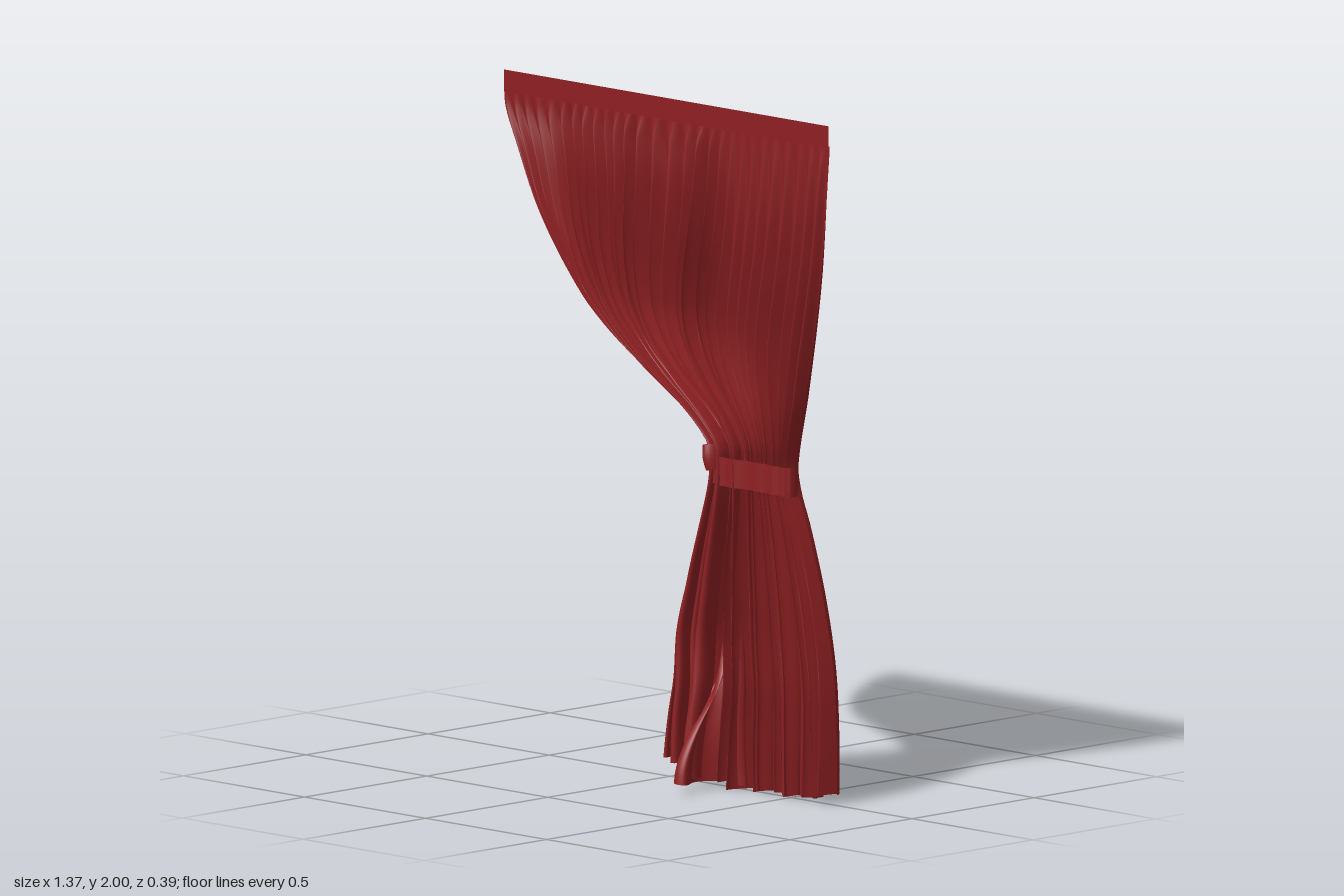
import * as THREE from 'three';

const TAU = Math.PI * 2;

// Smooth interpolation through [position, value] pairs sorted by position
function profile(points) {
  const slope = i => {
    const a = points[Math.max(i - 1, 0)], b = points[Math.min(i + 1, points.length - 1)];
    return (b[1] - a[1]) / (b[0] - a[0]);
  };
  return y => {
    let i = 0;
    while (i < points.length - 2 && y > points[i + 1][0]) i++;
    const [x0, v0] = points[i], [x1, v1] = points[i + 1], h = x1 - x0;
    const t = THREE.MathUtils.clamp((y - x0) / h, 0, 1), t2 = t * t, t3 = t2 * t;
    return v0 * (2 * t3 - 3 * t2 + 1) + v1 * (3 * t2 - 2 * t3)
      + h * (slope(i) * (t3 - 2 * t2 + t) + slope(i + 1) * (t3 - t2));
  };
}

// Outline of the gathered cloth by height
const sideRight = profile([[0, 0.015], [0.07, 0.015], [0.2, 0.028], [0.3, 0.045], [0.45, 0.055], [0.6, 0.1],
  [0.8, 0.17], [0.9, 0.2], [0.97, 0.205], [1.02, 0.19], [1.1, 0.09], [1.2, -0.09], [1.3, -0.25],
  [1.4, -0.37], [1.6, -0.53], [1.8, -0.635], [1.91, -0.685], [2, -0.685]]);
const sideLeft = profile([[0, 0.68], [0.2, 0.675], [0.4, 0.66], [0.6, 0.62], [0.8, 0.56], [0.9, 0.522],
  [0.98, 0.51], [1.2, 0.56], [1.4, 0.6], [1.6, 0.63], [1.9, 0.655], [2, 0.655]]);
// How strongly the pleats crowd toward the swept side
const crowding = profile([[0, 1.5], [0.5, 1.65], [0.95, 2], [1.2, 1.75], [1.6, 1.2], [1.94, 1], [2, 1]]);
// Pleat depth by height, and its share across the width
const depth = profile([[0, 0.12], [0.2, 0.108], [0.5, 0.092], [0.8, 0.078], [1, 0.07], [1.2, 0.065],
  [1.5, 0.05], [1.75, 0.03], [1.88, 0.016], [1.94, 0], [2, 0]]);
const share = profile([[0, 0.3], [0.08, 0.75], [0.25, 1], [0.55, 1], [0.66, 0.75], [0.74, 0.42],
  [0.84, 0.4], [0.9, 0.6], [0.96, 0.6], [1, 0.3]]);
// Uneven hem height across the width
const hem = profile([[0, 0.07], [0.3, 0.062], [0.39, 0.06], [0.42, 0.03], [0.54, 0.018], [0.6, 0.006], [0.85, 0], [1, 0.02]]);
// Large pleats that flare at the hem: place across the width, width, reach in z
const flares = [[0.3, 0.025, -0.195], [0.46, 0.03, 0.195]];

function clothPoint(u, y, target) {
  const low = THREE.MathUtils.smoothstep(1.3 - y, 0, 1.1);
  const fine = TAU * (28 * u + 0.5 * Math.sin(7 * u) + 0.3 * Math.sin(17 * u + 1)) + 0.5 * Math.sin(2 * y + 9 * u);
  const broad = TAU * (10 * u + 0.35 * Math.sin(9 * u + 2)) + 0.4 * Math.sin(3 * y);
  const uneven = 0.8 + 0.2 * Math.sin(31 * u + 1.3);
  const fineWeight = 0.85 - 0.4 * low, broadWeight = 0.2 + 0.45 * low;
  const d = depth(y) * share(u) * uneven;
  const l = sideRight(y), r = sideLeft(y);
  const edge = Math.min(1, u * 12, (1 - u) * 12);
  const x = l + (r - l) * Math.pow(u, crowding(y))
    + edge * d * (0.09 * Math.sin(2 * fine) + 0.16 * low * Math.sin(2 * broad));
  let z = d * (fineWeight * Math.sin(fine) + broadWeight * Math.sin(broad)) - 0.004;
  const open = THREE.MathUtils.smoothstep(0.5 - y, 0, 0.48);
  for (const [place, width, reach] of flares)
    z = THREE.MathUtils.lerp(z, reach, open * Math.exp(-(((u - place) / width) ** 2)));
  return target.set(x, y, z);
}

// Sheet of cols x rows cells placed by a rule of (u, v)
function sheet(cols, rows, rule) {
  const geometry = new THREE.PlaneGeometry(1, 1, cols, rows);
  const pos = geometry.attributes.position, p = new THREE.Vector3();
  for (let i = 0; i < pos.count; i++) {
    rule(pos.getX(i) + 0.5, pos.getY(i) + 0.5, p);
    pos.setXYZ(i, p.x, p.y, p.z);
  }
  geometry.computeVertexNormals();
  return geometry;
}

export function createModel() {
  const group = new THREE.Group();
  const red = new THREE.MeshStandardMaterial({ color: 0x8f2023, side: THREE.DoubleSide });
  red.name = 'deep red cloth';
  const add = (name, geometry) => {
    const mesh = new THREE.Mesh(geometry, red);
    mesh.name = name;
    group.add(mesh);
    return mesh;
  };

  // Pleated cloth from heading to hem
  add('drape', sheet(560, 80, (u, v, p) => {
    const h = hem(u) + 0.006 * (1 + Math.sin(47 * u)) * u;
    clothPoint(u, h + (1.94 - h) * v, p);
  }));

  // Flat heading strip along the top
  add('heading', sheet(1, 1, (u, v, p) => p.set(-0.685 + 1.34 * u, 1.935 + 0.065 * v, 0)));

  // Tie band over the front, tucked in at both ends of the waist
  add('tieBand', sheet(72, 3, (u, v, p) => {
    const a = Math.PI * (1.08 - 1.16 * u), c = Math.cos(a), s = Math.sin(a);
    const front = 0.066 - 0.03 * THREE.MathUtils.smoothstep(c, -0.6, 0.3);
    p.set(0.36 + 0.158 * Math.sign(c) * Math.pow(Math.abs(c), 0.8), 0.895 + 0.085 * v - 0.006 * c,
      front * Math.sign(s) * Math.pow(Math.abs(s), 0.6) + 0.003 * Math.sin(u * 60));
  }));

  // Gathered loop of the tie at the swept side
  const loop = add('tieLoop', sheet(32, 6, (u, v, p) => {
    const a = u * TAU, bulge = 1 + 0.1 * Math.sin(v * Math.PI);
    p.set(-0.03 * bulge * Math.cos(a), 0.075 * (v - 0.5), 0.06 * bulge * Math.sin(a));
  }));
  loop.position.set(0.215, 0.975, 0.006);
  loop.rotation.z = 0.2;

  return group;
}
